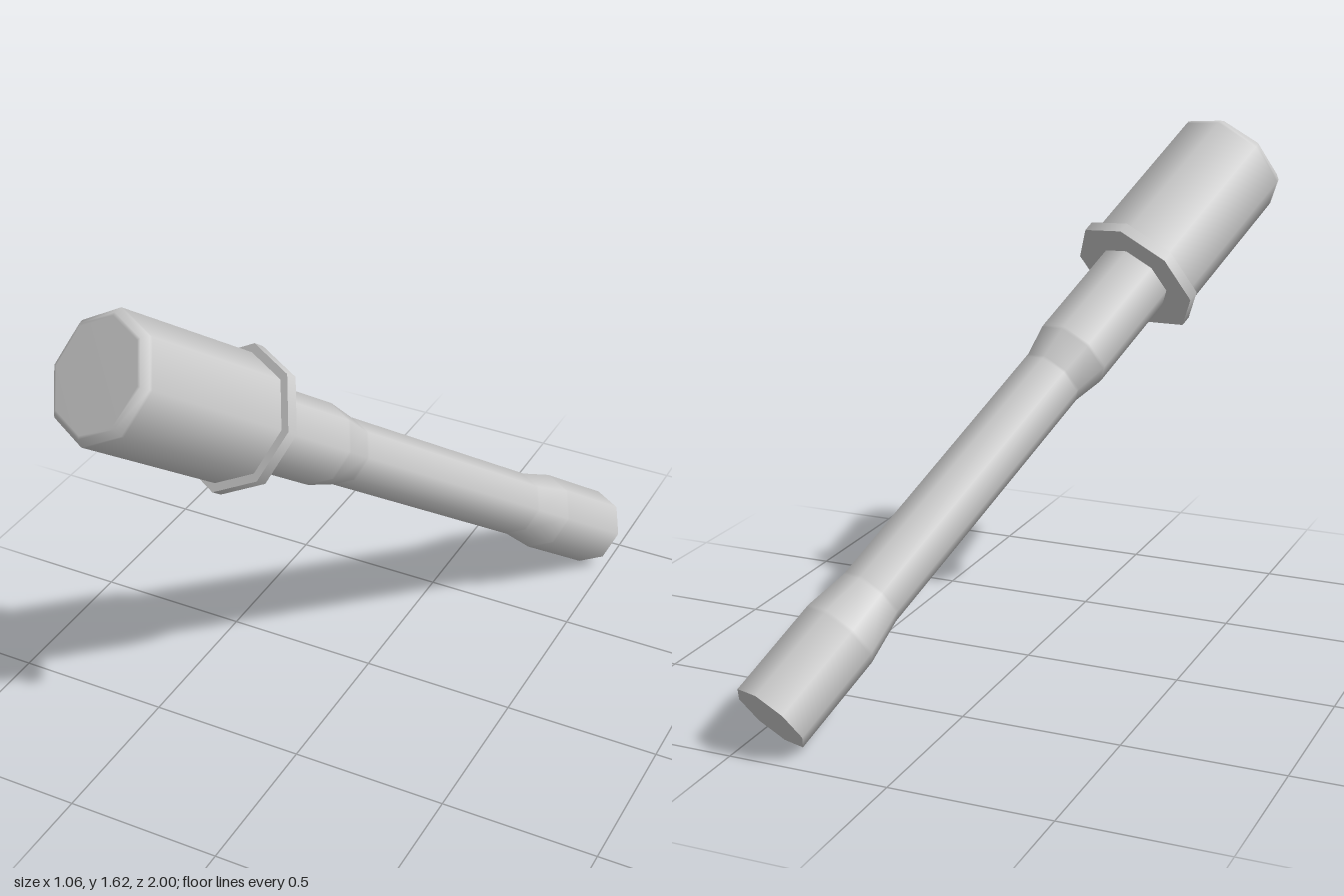
import * as THREE from 'three';
import { mergeGeometries } from 'three/addons/utils/BufferGeometryUtils.js';

const SIDES = 8;
const material = new THREE.MeshStandardMaterial({ color: 0xcccccc });

// Turned part from several [radius, height] runs: smooth inside a run, sharp between runs
function turned(name, ...runs) {
  const pieces = runs.map((run) =>
    new THREE.LatheGeometry(run.map(([r, h]) => new THREE.Vector2(r, h)), SIDES));
  const mesh = new THREE.Mesh(mergeGeometries(pieces), material);
  mesh.name = name;
  return mesh;
}

export function createModel() {
  const group = new THREE.Group();
  group.name = 'stickWithCylindricalHead';
  const tool = new THREE.Group();
  tool.name = 'tiltedBody';
  group.add(tool);

  // Handle: thick at both ends with a slimmer grip between
  tool.add(turned('handle',
    [[0, 0], [0.127, 0]],
    [[0.127, 0], [0.127, 0.31], [0.127, 0.32], [0.105, 0.46], [0.105, 0.47],
      [0.105, 1.37], [0.105, 1.38], [0.126, 1.48], [0.127, 1.49], [0.127, 1.84]]));

  // Collar: thin flange between handle and head
  tool.add(turned('collar',
    [[0, 1.83], [0.22, 1.83]],
    [[0.22, 1.83], [0.22, 1.866]],
    [[0.22, 1.866], [0, 1.866]]));

  // Head: wide cylinder with a softly bevelled end
  tool.add(turned('head',
    [[0.193, 1.85], [0.193, 2.375], [0.193, 2.385], [0.175, 2.403], [0.165, 2.405], [0, 2.405]]));

  // Tilt the turning axis from the low back end up to the high front end
  const axis = new THREE.Vector3(-0.761, 1.374, 1.804).normalize();
  const up = new THREE.Vector3(0, axis.z, -axis.y).normalize();
  const side = new THREE.Vector3().crossVectors(up, axis);
  tool.quaternion.setFromRotationMatrix(
    new THREE.Matrix4().makeBasis(side, axis, new THREE.Vector3().crossVectors(side, axis)));
  tool.position.set(0.408, 0.102, -0.923);
  return group;
}
